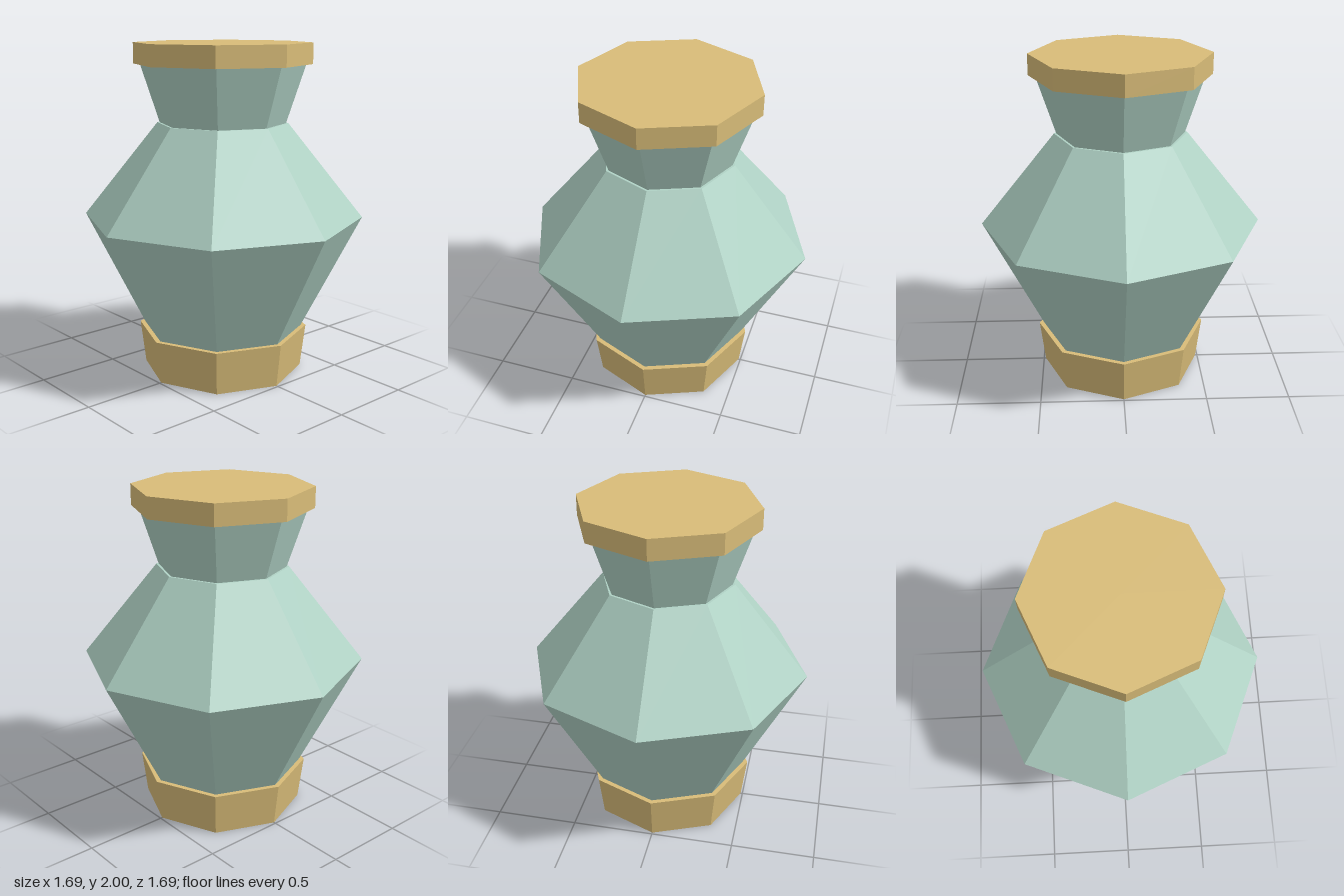
import * as THREE from 'three';

const SIDES = 8;

export function createModel() {
  const model = new THREE.Group();
  model.name = 'vase';

  const glaze = new THREE.MeshStandardMaterial({ color: 0xb0d2c5, flatShading: true });
  glaze.name = 'pale green glaze';
  const gold = new THREE.MeshStandardMaterial({ color: 0xd8bc78, flatShading: true });
  gold.name = 'gold';

  // Eight-sided tapered ring standing between two heights
  function section(name, material, y0, r0, y1, r1) {
    const geometry = new THREE.CylinderGeometry(r1, r0, y1 - y0, SIDES);
    const mesh = new THREE.Mesh(geometry, material);
    mesh.name = name;
    mesh.position.y = (y0 + y1) / 2;
    model.add(mesh);
  }

  section('foot', gold, 0, 0.488, 0.263, 0.52);
  section('lowerBody', glaze, 0.263, 0.49, 0.96, 0.847);
  section('shoulder', glaze, 0.96, 0.847, 1.527, 0.393);
  section('neck', glaze, 1.527, 0.379, 1.875, 0.493);
  section('lid', gold, 1.875, 0.532, 2, 0.532);

  return model;
}
